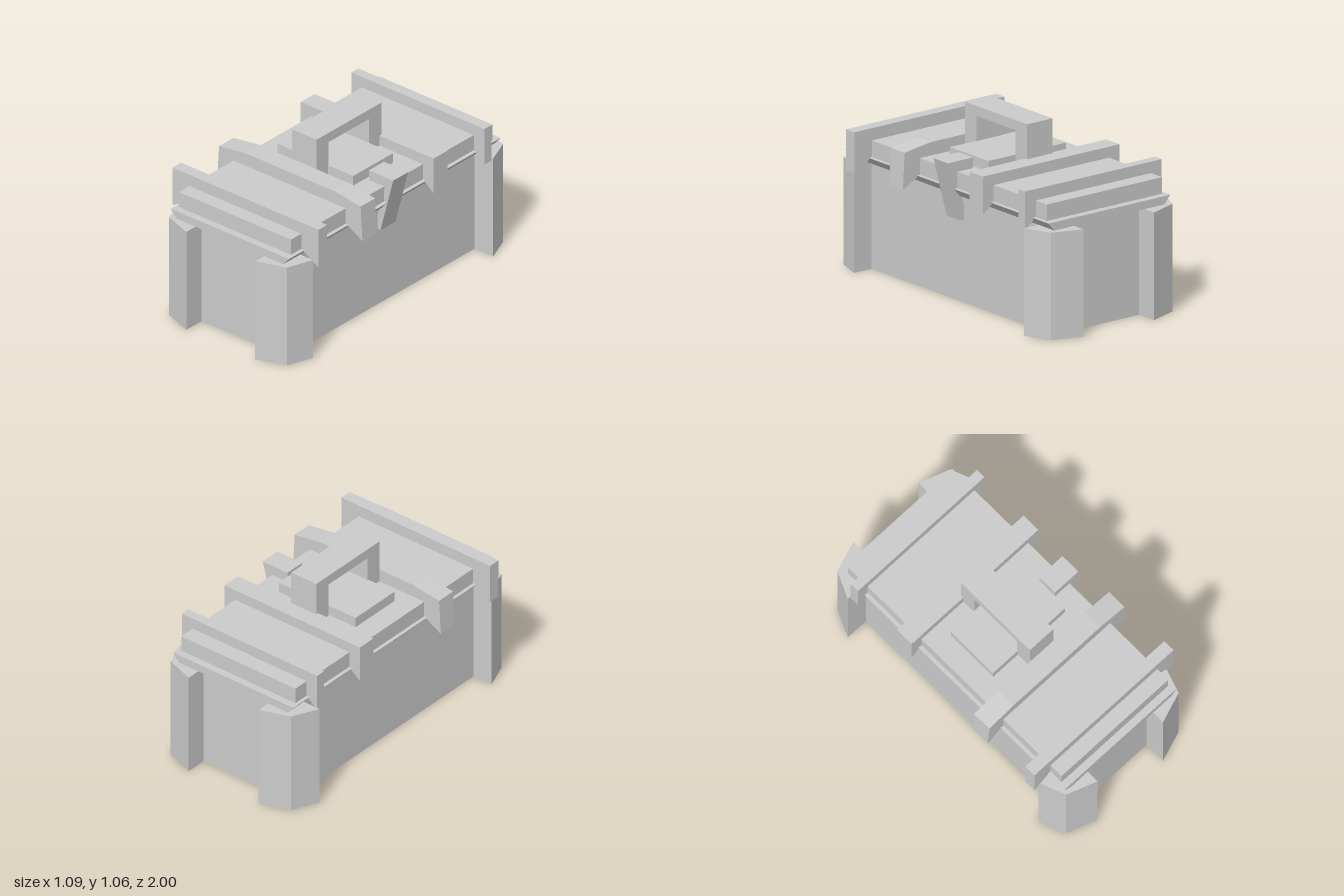
import * as THREE from 'three';

const material = new THREE.MeshStandardMaterial({ color: 0xcccccc, flatShading: true });

function add(parent, name, geometry) {
  const mesh = new THREE.Mesh(geometry, material);
  mesh.name = name;
  parent.add(mesh);
  return mesh;
}

// Box given by its lower and upper limits
function box(x0, x1, y0, y1, z0, z1) {
  return new THREE.BoxGeometry(x1 - x0, y1 - y0, z1 - z0)
    .translate((x0 + x1) / 2, (y0 + y1) / 2, (z0 + z1) / 2);
}

function extrude(points, depth) {
  const shape = new THREE.Shape(points.map(([x, y]) => new THREE.Vector2(x, y)));
  return new THREE.ExtrudeGeometry(shape, { depth, bevelEnabled: false });
}

// Front-facing (x, y) outline running from z0 to z1
const alongZ = (points, z0, z1) => extrude(points, z1 - z0).translate(0, 0, z0);

// Half outline for x > 0, mirrored to make a closed symmetric one
const mirrored = (half) => [...half, ...half.slice().reverse().map(([x, y]) => [-x, y])];

export function createModel() {
  const model = new THREE.Group();
  model.name = 'chest';

  // Recessed body, overhanging undercut lid rim and lid
  add(model, 'body', box(-0.372, 0.37, 0, 0.638, -0.866, 0.866));
  add(model, 'lidRim', alongZ(mirrored([[0.4, 0.638], [0.443, 0.687]]), -0.915, 0.92));
  add(model, 'lid', box(-0.42, 0.418, 0.687, 0.785, -0.87, 0.875));

  // Angular guards wrapped around the four corners
  for (const sz of [1, -1]) {
    for (const sx of [1, -1]) {
      const reach = (sz > 0 ? 0.5 : 0.512) - sx * 0.004;
      const outline = [
        [0.257, 0.85], [0.257, 1], [0.442, 0.935], [reach, 0.773], [0.35, 0.773], [0.35, 0.85],
      ].map(([x, z]) => [x * sx, z * sz]);
      add(model, 'cornerGuard', extrude(outline, 0.638).rotateX(Math.PI / 2).translate(0, 0.638, 0));
    }
  }

  // Bands bent over the lid: [z0, z1, bottom half width, bottom y, top outline]
  const bands = [
    [0.71, 0.785, 0.546, 0.613, [[0.546, 0.858]]],
    [0.275, 0.4, 0.543, 0.618, [[0.53, 0.838], [0.34, 0.865]]],
    [-0.39, -0.27, 0.497, 0.623, [[0.497, 0.85]]],
    [-0.77, -0.71, 0.497, 0.623, [[0.497, 0.853]]],
  ];
  for (const [z0, z1, w, y, top] of bands) {
    const half = [[0.41, 0.78], [0.41, 0.692], [w, y], ...top];
    add(model, 'lidBand', alongZ(mirrored(half), z0, z1));
  }

  // Handle plate and square arch handle
  add(model, 'handlePlate', box(-0.285, 0.28, 0.785, 0.848, -0.17, 0.175));
  const arch = [
    [-0.287, 0.785], [-0.287, 1.057], [0.275, 1.057], [0.275, 0.785],
    [0.17, 0.785], [0.17, 0.997], [-0.18, 0.997], [-0.18, 0.785],
  ];
  add(model, 'handle', alongZ(arch, -0.092, 0.092).rotateY(-Math.PI / 2));

  // Latch on the left side: hooked over the lid edge, slanting in to the body
  const latch = [
    [0.305, 0.78], [0.305, 0.848], [0.487, 0.848], [0.392, 0.49], [0.345, 0.49], [0.425, 0.78],
  ];
  add(model, 'latch', alongZ(latch, -0.062, 0.068));

  return model;
}
